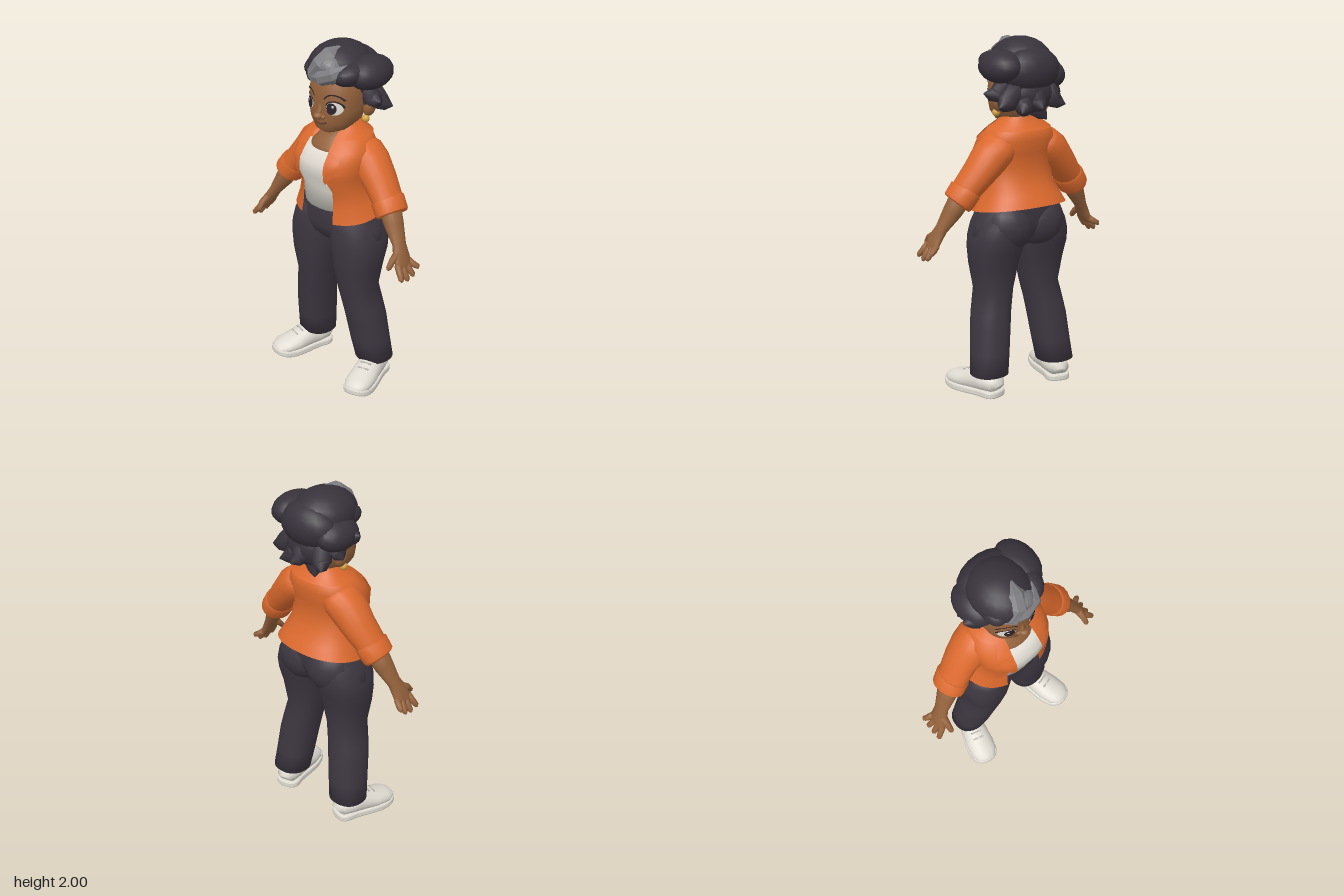
import * as THREE from 'three';
import { mergeVertices } from 'three/addons/utils/BufferGeometryUtils.js';

const mat = (name, color, extra = {}) => {
  const m = new THREE.MeshStandardMaterial({ color, ...extra });
  m.name = name;
  return m;
};
const M = {
  skin: mat('skin', 0x94623c),
  lips: mat('lips', 0x6e4030),
  hair: mat('hair', 0x38323b),
  streak: mat('hair streak', 0x7d7c80, { flatShading: true }),
  jacket: mat('jacket', 0xdb692d, { side: THREE.DoubleSide }),
  white: mat('white', 0xdfdbd2, { side: THREE.DoubleSide }),
  pants: mat('trousers', 0x3d3640),
  dark: mat('dark detail', 0x2c252b, { side: THREE.DoubleSide }),
  gold: mat('gold', 0xd3a340),
  grey: mat('lace grey', 0xb0ada6),
};

const P = 0.88; // squareness of body sections
const pw = (v, p) => Math.sign(v) * Math.abs(v) ** p;
const V3 = (a) => new THREE.Vector3(...a);

// Skins rings of points; closed rings get end caps
function skinRings(rings, closed = true) {
  const n = rings[0].length, pos = rings.flat().flatMap((v) => [v.x, v.y, v.z]), idx = [];
  for (let i = 0; i < rings.length - 1; i++) {
    for (let j = 0; j < (closed ? n : n - 1); j++) {
      const k = (j + 1) % n, a = i * n + j, b = i * n + k;
      idx.push(a, b, b + n, a, b + n, a + n);
    }
  }
  if (closed) {
    for (const end of [0, rings.length - 1]) {
      const c = rings[end].reduce((s, v) => s.add(v), new THREE.Vector3()).divideScalar(n);
      const ci = pos.length / 3, o = end * n;
      pos.push(c.x, c.y, c.z);
      for (let j = 0; j < n; j++) {
        const k = (j + 1) % n;
        idx.push(ci, ...(end ? [o + j, o + k] : [o + k, o + j]));
      }
    }
  }
  const g = new THREE.BufferGeometry();
  g.setAttribute('position', new THREE.Float32BufferAttribute(pos, 3));
  g.setIndex(idx);
  g.computeVertexNormals();
  return g;
}

// Tapered limb along a path of [x, y, z, radiusAcross, radiusRef]
function limb(secs, n = 14, ref = [0, 0, 1]) {
  const pts = secs.map(V3);
  return skinRings(secs.map((s, i) => {
    const T = pts[Math.min(i + 1, pts.length - 1)].clone().sub(pts[Math.max(i - 1, 0)]).normalize();
    const U = T.clone().cross(V3(ref)).normalize(), V = U.clone().cross(T);
    return Array.from({ length: n }, (_, j) => {
      const a = (j / n) * Math.PI * 2;
      return pts[i].clone().addScaledVector(U, s[3] * Math.sin(a)).addScaledVector(V, (s[4] ?? s[3]) * Math.cos(a));
    });
  }));
}

// Upright loft from [y, cx, cz, rx, rz, tilt, gap]; a gap leaves the front open
function body(secs, n = 28) {
  const open = secs[0][6] !== undefined;
  return skinRings(secs.map(([y, cx, cz, rx, rz, tilt = 0, gap = 0]) => {
    const a0 = open ? Math.asin((gap / rx) ** (1 / P)) : 0;
    return Array.from({ length: n }, (_, j) => {
      const a = open ? a0 + (j / (n - 1)) * (2 * Math.PI - 2 * a0) : (j / n) * 2 * Math.PI;
      const c = pw(Math.cos(a), P);
      return new THREE.Vector3(cx + rx * pw(Math.sin(a), P), y - tilt * c, cz + rz * c);
    });
  }), !open);
}

// Depth of a lofted front at x, y
function frontZ(secs, x, y) {
  let i = 0;
  while (i < secs.length - 2 && secs[i + 1][0] < y) i++;
  const t = THREE.MathUtils.clamp((y - secs[i][0]) / (secs[i + 1][0] - secs[i][0]), 0, 1);
  const at = (k) => THREE.MathUtils.lerp(secs[i][k], secs[i + 1][k], t);
  const s = Math.min(Math.abs(x) / at(3), 0.98) ** (1 / P);
  return at(2) + at(4) * Math.sqrt(1 - s * s) ** P;
}
function project(geo, secs, off) {
  const p = geo.attributes.position;
  for (let i = 0; i < p.count; i++) p.setZ(i, frontZ(secs, p.getX(i), p.getY(i)) + off);
  geo.computeVertexNormals();
  return geo;
}
const disc = (x, y, rx, ry, secs, off, inner = 0, a = 0, len = Math.PI * 2) =>
  project(new THREE.RingGeometry(inner, 1, 24, 4, a, len).scale(rx, ry, 1).translate(x, y, 0), secs, off);
function patch(c, secs, off) { // corners: top-inner, top-outer, low-outer, low-inner
  const g = new THREE.PlaneGeometry(1, 1, 6, 6), p = g.attributes.position;
  for (let i = 0; i < p.count; i++) {
    const u = p.getX(i) + 0.5, v = p.getY(i) + 0.5;
    const f = (k) => v * (c[0][k] * (1 - u) + c[1][k] * u) + (1 - v) * (c[3][k] * (1 - u) + c[2][k] * u);
    p.setXY(i, f(0), f(1));
  }
  return project(g, secs, off);
}
const ball = (x, y, z, rx, ry = rx, rz = rx, roll = 0) =>
  new THREE.SphereGeometry(1, 18, 12).scale(rx, ry, rz).rotateZ(roll).translate(x, y, z);

function mirror(geo) {
  const g = geo.index ? geo.clone() : mergeVertices(geo);
  g.scale(-1, 1, 1);
  const ix = g.index.array;
  for (let i = 0; i < ix.length; i += 3) [ix[i], ix[i + 1]] = [ix[i + 1], ix[i]];
  return g;
}

const COAT = [
  [1.06, 0, -0.01, 0.268, 0.213, 0.035, 0.115], [1.13, 0, 0, 0.235, 0.193, 0.02, 0.11],
  [1.21, 0, 0.022, 0.207, 0.17, 0, 0.105], [1.3, 0, 0.055, 0.213, 0.184, 0, 0.095],
  [1.38, 0, 0.047, 0.224, 0.188, 0, 0.09], [1.45, 0, 0.015, 0.222, 0.17, 0, 0.085],
  [1.5, 0, -0.005, 0.182, 0.14, 0, 0.08], [1.555, 0, -0.015, 0.11, 0.085, 0, 0.065],
];
const HEAD = [
  [1.525, 0, 0.06, 0.045, 0.065], [1.545, 0, 0.05, 0.09, 0.1], [1.595, 0, 0.03, 0.134, 0.13],
  [1.66, 0, 0.02, 0.152, 0.143], [1.73, 0, 0.015, 0.15, 0.145], [1.81, 0, 0.01, 0.145, 0.145], [1.88, 0, 0, 0.1, 0.1],
];

export function createModel() {
  const root = new THREE.Group();
  const add = (name, geo, m) => {
    const mesh = new THREE.Mesh(geo, m);
    mesh.name = name;
    root.add(mesh);
  };
  const pair = (name, geo, m) => { add(name + 'Left', geo, m); add(name + 'Right', mirror(geo), m); };

  // Trousers: legs narrow upward inside the hips
  pair('trouserLeg', body([
    [0.125, 0.226, -0.042, 0.106, 0.102], [0.25, 0.21, -0.025, 0.106, 0.11], [0.4, 0.193, -0.006, 0.108, 0.115],
    [0.48, 0.18, 0.006, 0.106, 0.116], [0.6, 0.155, 0.022, 0.104, 0.118], [0.74, 0.153, 0.022, 0.131, 0.14], [0.84, 0.149, 0.01, 0.149, 0.158],
    [0.91, 0.143, 0.003, 0.151, 0.167], [0.98, 0.13, 0, 0.145, 0.165], [1.06, 0.11, 0, 0.125, 0.15],
  ]), M.pants);
  add('hips', body([
    [0.845, 0, 0.01, 0.1, 0.04], [0.875, 0, 0.005, 0.26, 0.105], [0.92, 0, 0.003, 0.293, 0.15], [0.98, 0, 0, 0.278, 0.168],
    [1.05, 0, -0.002, 0.248, 0.168], [1.11, 0, -0.005, 0.215, 0.168], [1.18, 0, -0.005, 0.18, 0.14],
  ]), M.pants);
  pair('seat', ball(0.1, 0.975, -0.055, 0.15, 0.15, 0.135), M.pants);

  // Shoes, turned outward, with a slight lift at the toe
  const placeShoe = (g) => g.rotateY(0.27).translate(0.246, 0, 0);
  pair('shoeUpper', placeShoe(limb([
    [0, 0.06, -0.127, 0.035, 0.03], [0, 0.075, -0.108, 0.06, 0.053], [0, 0.075, -0.04, 0.07, 0.06], [0, 0.082, 0.005, 0.073, 0.076],
    [0, 0.076, 0.05, 0.076, 0.068], [0, 0.06, 0.12, 0.082, 0.055], [0, 0.054, 0.19, 0.077, 0.045], [0, 0.048, 0.23, 0.055, 0.03],
    [0, 0.046, 0.245, 0.03, 0.015],
  ], 18, [0, 1, 0])), M.white);
  const half = [[0.04, -0.128], [0.068, -0.1], [0.07, -0.02], [0.083, 0.08], [0.086, 0.15], [0.073, 0.215], [0.036, 0.248]];
  const outline = new THREE.Shape(new THREE.CatmullRomCurve3(
    [...half, ...half.map(([x, z]) => [-x, z]).reverse()].map(([x, z]) => new THREE.Vector3(x, -z, 0)), true,
  ).getPoints(48).map((p) => new THREE.Vector2(p.x, p.y)));
  const sole = new THREE.ExtrudeGeometry(outline, {
    depth: 0.02, bevelThickness: 0.01, bevelSize: 0.01, bevelOffset: -0.01, bevelSegments: 2,
  }).rotateX(-Math.PI / 2).translate(0, 0.01, 0);
  const sp = sole.attributes.position;
  for (let i = 0; i < sp.count; i++) sp.setY(i, sp.getY(i) + 1.5 * Math.max(0, sp.getZ(i) - 0.13) ** 2);
  sole.computeVertexNormals();
  pair('shoeSole', placeShoe(sole), M.white);
  [[0.04, 0.148], [0.075, 0.134], [0.11, 0.118]].forEach(([z, y], i) =>
    pair('shoeLace' + i, placeShoe(new THREE.BoxGeometry(0.065, 0.007, 0.009).rotateX(0.4).translate(0, y, z)), M.grey));
  pair('ankle', new THREE.CylinderGeometry(0.055, 0.055, 0.12, 14).translate(0.228, 0.14, -0.045), M.skin);

  // Shirt, jacket and collar
  add('shirt', body([[1.11, 0, 0, 0.19, 0.182, 0.022], ...COAT.slice(2, 5).map(([y, x, z, rx, rz]) => [y, x, z, rx * 0.96, rz * 0.965]),
    [1.44, 0, 0.018, 0.18, 0.165, 0.012]]), M.white);
  add('jacket', body(COAT, 40), M.jacket);
  add('collarBand', body([[1.505, 0, -0.01, 0.18, 0.145, 0, 0.1], [1.54, 0, -0.015, 0.132, 0.105, 0, 0.085],
    [1.575, 0, -0.018, 0.1, 0.085, 0, 0.07]]), M.jacket);
  pair('collar', patch([[0.07, 1.55], [0.1, 1.545], [0.178, 1.425], [0.085, 1.455]], COAT, 0.012), M.jacket);
  pair('lapel', patch([[0.085, 1.45], [0.15, 1.435], [0.165, 1.375], [0.092, 1.27]], COAT, 0.008), M.jacket);
  pair('sleeve', limb([[0.1, 1.425, -0.025, 0.08, 0.1], [0.15, 1.4, -0.025, 0.1, 0.115], [0.2, 1.36, -0.023, 0.103, 0.112],
    [0.27, 1.28, -0.018, 0.088, 0.1], [0.345, 1.19, 0, 0.075, 0.09], [0.37, 1.155, 0.006, 0.07, 0.085]], 20), M.jacket);
  pair('sleeveCuff', limb([[0.338, 1.2, 0, 0.072, 0.088], [0.343, 1.193, 0, 0.085, 0.099],
    [0.385, 1.133, 0.01, 0.083, 0.096], [0.392, 1.124, 0.012, 0.075, 0.088]], 18), M.jacket);

  // Forearms and hands
  pair('forearm', limb([[0.36, 1.17, 0.005, 0.06, 0.068], [0.415, 1.075, 0.025, 0.05, 0.058], [0.472, 0.985, 0.046, 0.031, 0.042],
    [0.502, 0.93, 0.062, 0.027, 0.056], [0.528, 0.88, 0.066, 0.02, 0.06], [0.535, 0.868, 0.066, 0.01, 0.05]]), M.skin);
  [[0.11, 0.13, 0.825], [0.08, 0.083, 0.812], [0.05, 0.038, 0.822], [0.022, 0, 0.855]].forEach(([z0, z1, y], i) =>
    pair('finger' + i, limb([[0.518, 0.9, z0, 0.018], [0.545, (0.9 + y) / 2, (z0 + z1) / 2, 0.018],
      [0.565, y + 0.012, z1, 0.015], [0.57, y, z1, 0.006]], 8), M.skin));
  pair('thumb', limb([[0.492, 0.95, 0.085, 0.022], [0.497, 0.925, 0.13, 0.019], [0.497, 0.893, 0.158, 0.015], [0.497, 0.883, 0.163, 0.006]], 8, [1, 0, 0]), M.skin);

  // Neck and head
  add('neck', body([[1.39, 0, 0.02, 0.15, 0.15], [1.445, 0, 0.015, 0.135, 0.145], [1.49, 0, 0, 0.1, 0.115],
    [1.53, 0, -0.005, 0.078, 0.085], [1.63, 0, 0, 0.075, 0.075]]), M.skin);
  add('head', body(HEAD, 32), M.skin);
  add('nose', ball(0, 1.633, 0.17, 0.026, 0.021, 0.03), M.skin);
  add('noseBridge', limb([[0, 1.715, 0.142, 0.016], [0, 1.67, 0.152, 0.016], [0, 1.635, 0.172, 0.018]], 10), M.skin);
  pair('nostril', ball(0.024, 1.628, 0.16, 0.014, 0.013, 0.015), M.skin);
  pair('ear', ball(0.165, 1.66, -0.048, 0.03, 0.052, 0.038, -0.25), M.skin);
  pair('earring', ball(0.16, 1.602, -0.024, 0.021), M.gold);
  pair('eyeWhite', disc(0.086, 1.686, 0.041, 0.036, HEAD, 0.004), M.white);
  pair('iris', disc(0.076, 1.686, 0.026, 0.032, HEAD, 0.007), M.dark);
  pair('eyeGlint', disc(0.085, 1.699, 0.006, 0.008, HEAD, 0.01), M.white);
  pair('eyelashes', disc(0.087, 1.688, 0.046, 0.043, HEAD, 0.006, 0.84, 0.1, 2.7), M.dark);
  pair('eyebrow', disc(0.082, 1.702, 0.058, 0.064, HEAD, 0.006, 0.88, 0.5, 2.1), M.dark);
  add('mouth', disc(0, 1.612, 0.054, 0.032, HEAD, 0.005, 0.72, Math.PI + 0.3, Math.PI - 0.6), M.lips);

  // Hair masses: x, y, z, radii, roll
  [[0, 1.8, -0.055, 0.165, 0.16, 0.16], [-0.01, 1.868, -0.01, 0.165, 0.132, 0.188], [0.155, 1.855, -0.06, 0.105, 0.088, 0.148, -0.2],
    [0.115, 1.86, 0.045, 0.085, 0.062, 0.11, 0.3], [-0.14, 1.795, -0.055, 0.098, 0.085, 0.135, 0.35], [0, 1.83, -0.12, 0.175, 0.125, 0.113],
    [0, 1.705, -0.11, 0.15, 0.11, 0.1], [-0.11, 1.855, 0.06, 0.057, 0.055, 0.085, 0.3],
  ].forEach((m, i) => add('hairMass' + i, ball(...m), M.hair));

  // Hair flicks: root, bend, tip
  const lock = (name, pts, m) => add(name, limb(pts, 8, [0.2, 0.3, 1]), m);
  [[[0.11, 1.77, -0.06], [0.175, 1.7, -0.065], [0.25, 1.715, -0.04]], [[0.1, 1.74, -0.12], [0.165, 1.665, -0.135], [0.23, 1.65, -0.16]],
    [[0.05, 1.72, -0.13], [0.07, 1.64, -0.16], [0.12, 1.62, -0.22]], [[0, 1.74, -0.14], [0, 1.66, -0.18], [0.01, 1.64, -0.25]],
    [[-0.04, 1.69, -0.1], [-0.045, 1.61, -0.12], [-0.08, 1.56, -0.16]], [[-0.09, 1.74, -0.12], [-0.125, 1.66, -0.155], [-0.17, 1.64, -0.205]],
    [[-0.12, 1.77, -0.05], [-0.165, 1.71, -0.08], [-0.22, 1.685, -0.09]], [[-0.12, 1.78, 0.01], [-0.185, 1.775, 0.005], [-0.25, 1.8, 0.0]],
  ].forEach(([a, b, c], i) => lock('hairFlick' + i, [[...a, 0.06], [...b, 0.055],
    [...b.map((v, k) => (v + c[k]) / 2), 0.036], [...c, 0.002]], M.hair));

  // Grey streak
  add('streakMass', ball(0.03, 1.905, 0.1, 0.075, 0.055, 0.075, -0.4), M.streak);
  lock('streakSweep', [[-0.1, 1.83, 0.115, 0.02], [-0.055, 1.845, 0.143, 0.044], [-0.01, 1.9, 0.13, 0.06],
    [0.01, 1.95, 0.083, 0.052], [0.03, 1.982, 0.015, 0.012]], M.streak);
  lock('streakCurl', [[-0.07, 1.83, 0.15, 0.022], [0.01, 1.845, 0.155, 0.044], [0.08, 1.875, 0.14, 0.046], [0.13, 1.91, 0.07, 0.012]], M.streak);
  lock('streakTemple', [[-0.125, 1.8, 0.06, 0.025], [-0.158, 1.755, 0.04, 0.024], [-0.168, 1.715, 0.015, 0.005]], M.streak);

  return root;
}
